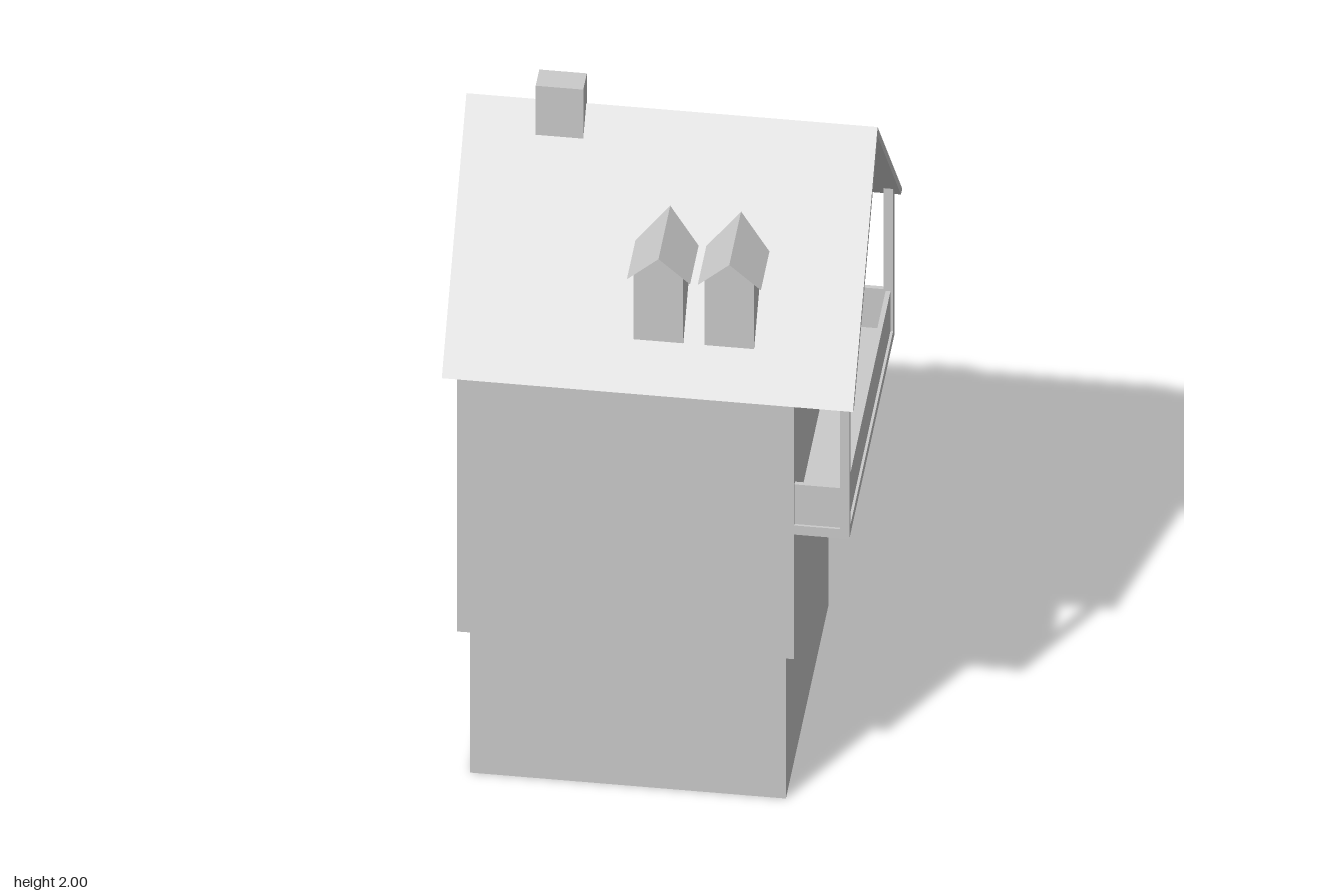
import * as THREE from 'three';

const mat = new THREE.MeshStandardMaterial({ color: 0xcccccc, flatShading: true, side: THREE.DoubleSide });

// Roof slope: ridge and eave heights
const SLOPE = 1.1875, RIDGE = 1.91, UNDER = 1.88;
const roofTop = z => RIDGE - SLOPE * Math.abs(z);
const roofUnder = z => UNDER - SLOPE * Math.abs(z);

function add(parent, name, geometry) {
  const mesh = new THREE.Mesh(geometry, mat);
  mesh.name = name;
  parent.add(mesh);
  return mesh;
}

function box(parent, name, x0, x1, y0, y1, z0, z1) {
  const g = new THREE.BoxGeometry(x1 - x0, y1 - y0, z1 - z0);
  g.translate((x0 + x1) / 2, (y0 + y1) / 2, (z0 + z1) / 2);
  return add(parent, name, g);
}

const shapeOf = pts => new THREE.Shape(pts.map(p => new THREE.Vector2(p[0], p[1])));

// Profile in (z, y), extruded along x
function prismX(parent, name, pts, x0, x1) {
  const g = new THREE.ExtrudeGeometry(shapeOf(pts), { depth: x1 - x0, bevelEnabled: false });
  g.rotateY(-Math.PI / 2).translate(x1, 0, 0);
  return add(parent, name, g);
}

// Flat-shaded surface from four-cornered faces
function faces(parent, name, quads) {
  const pos = [];
  for (const [a, b, c, d] of quads) pos.push(...a, ...b, ...c, ...a, ...c, ...d);
  const g = new THREE.BufferGeometry();
  g.setAttribute('position', new THREE.Float32BufferAttribute(pos, 3));
  g.computeVertexNormals();
  return add(parent, name, g);
}

// Band of walls between two rectangular rings
const ring = (x0, x1, z, y) => [[x0, y, z], [x1, y, z], [x1, y, -z], [x0, y, -z]];
function band(parent, name, lo, hi) {
  faces(parent, name, lo.map((p, i) => [p, lo[(i + 1) % 4], hi[(i + 1) % 4], hi[i]]));
}

// Small roof window that dies into the main roof
function dormer(cx) {
  const g = new THREE.Group();
  g.name = 'dormer';
  const zf = 0.39, half = 0.065, eave = 0.083, top = 1.72, pitch = 0.9;
  const back = y => (RIDGE - y) / SLOPE;
  const yb = 1.45, yw = top - half * pitch, ye = top - eave * pitch;
  const front = new THREE.ShapeGeometry(shapeOf([[-half, yb], [half, yb], [half, yw], [0, top], [-half, yw]]));
  add(g, 'dormerFront', front.translate(0, 0, zf));
  const cheek = s => [[s * half, yb, zf], [s * half, yb, back(yb)], [s * half, yw, back(yw)], [s * half, yw, zf]];
  const slope = s => [[0, top, zf], [s * eave, ye, zf], [s * eave, ye, back(ye)], [0, top, back(top)]];
  // Reversed on the left or right so every face points outward
  faces(g, 'dormerSides', [cheek(1), cheek(-1).reverse()]);
  faces(g, 'dormerRoof', [slope(1), slope(-1).reverse()]);
  g.position.x = cx;
  return g;
}

export function createModel() {
  const house = new THREE.Group();
  house.name = 'house';

  // Walls: open-bottomed ground floor, ledge and wider upper floor
  const W = 0.44, wallTop = roofUnder(W);
  const low0 = ring(-0.475, 0.355, 0.415, 0), low1 = ring(-0.475, 0.355, 0.415, 0.48);
  const up0 = ring(-0.505, 0.38, W, 0.48), up1 = ring(-0.505, 0.38, W, wallTop);
  band(house, 'groundFloorWalls', low0, low1);
  band(house, 'ledge', low1, up0);
  band(house, 'upperFloorWalls', up0, up1);
  for (const [name, x, turn] of [['balconyGable', 0.38, 1], ['rearGable', -0.505, -1]]) {
    const gable = new THREE.ShapeGeometry(shapeOf([[-W, wallTop], [W, wallTop], [0, UNDER]]));
    add(house, name, gable.rotateY(turn * Math.PI / 2).translate(x, 0, 0));
  }

  // Gabled roof slab with level-cut eaves
  prismX(house, 'roof', [
    [0, RIDGE], [-0.48, roofTop(0.48)], [-0.455, roofTop(0.48)],
    [0, UNDER], [0.455, roofTop(0.48)], [0.48, roofTop(0.48)],
  ], -0.54, 0.54);

  // Chimney notched over the ridge
  prismX(house, 'chimney', [
    [0.06, roofTop(0.06)], [0.06, 2], [-0.01, 2], [-0.01, roofTop(0.01)], [0, RIDGE],
  ], -0.35, -0.225);

  house.add(dormer(0.017), dormer(0.203));

  // Balcony: floor, corner posts up to the roof, inset parapet panels
  const balcony = new THREE.Group();
  balcony.name = 'balcony';
  house.add(balcony);
  box(balcony, 'balconyFloor', 0.38, 0.525, 0.89, 0.92, -W, W);
  box(balcony, 'balconyEndPanel', 0.505, 0.518, 0.92, 1.05, -0.415, 0.415);
  for (const s of [1, -1]) {
    prismX(balcony, 'balconyPost', [
      [s * 0.415, 0.92], [s * W, 0.92], [s * W, wallTop], [s * 0.415, roofUnder(0.415)],
    ], 0.5, 0.525);
    box(balcony, 'balconySidePanel', 0.38, 0.5, 0.92, 1.05, s * 0.4275 - 0.006, s * 0.4275 + 0.006);
  }
  return house;
}
